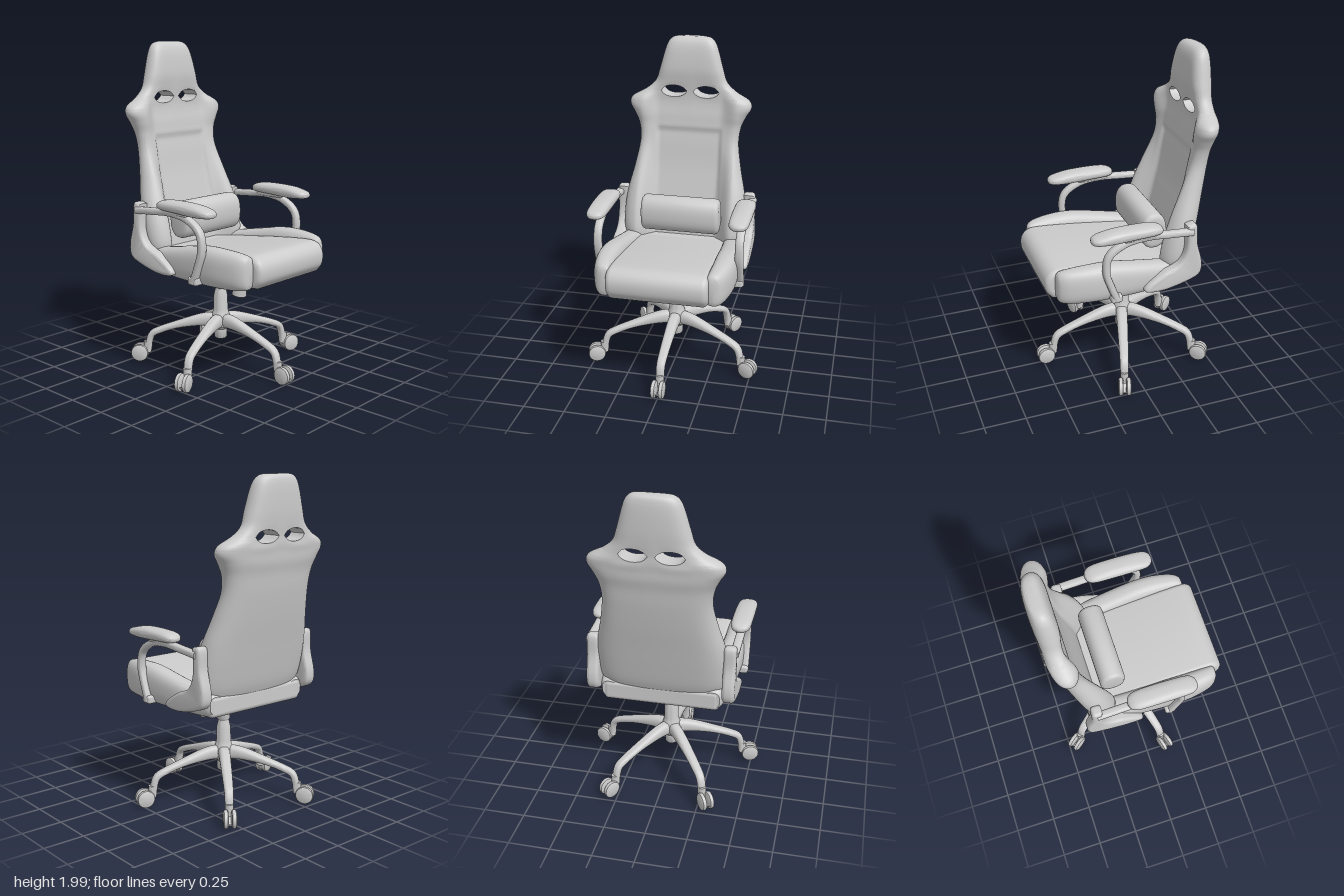
import * as THREE from 'three';
import { toCreasedNormals, mergeGeometries } from 'three/addons/utils/BufferGeometryUtils.js';
import { RoundedBoxGeometry } from 'three/addons/geometries/RoundedBoxGeometry.js';

const grey = new THREE.MeshStandardMaterial({ color: 0xcccccc, side: THREE.DoubleSide });
const V = (x, y, z) => new THREE.Vector3(x, y, z);
const smooth = THREE.MathUtils.smoothstep;

function add(parent, name, geometry, x = 0, y = 0, z = 0) {
  const mesh = new THREE.Mesh(geometry, grey);
  mesh.name = name;
  mesh.position.set(x, y, z);
  parent.add(mesh);
  return mesh;
}

// Skin over equal-length loops; ends are closed by strips pairing point i with n-1-i
function loft(loops, crease = 0.9) {
  const n = loops[0].length, index = [];
  const pts = loops.flat();
  const quad = (a, b, c, d) => index.push(a, b, c, a, c, d);
  for (let r = 0; r < loops.length - 1; r++)
    for (let i = 0; i < n; i++) {
      const j = (i + 1) % n;
      quad(r * n + i, r * n + j, r * n + n + j, r * n + n + i);
    }
  const last = (loops.length - 1) * n;
  for (let i = 0; i < n / 2 - 1; i++) {
    quad(i, n - 1 - i, n - 2 - i, i + 1);
    quad(last + i, last + i + 1, last + n - 2 - i, last + n - 1 - i);
  }
  // Turn the faces outward if the enclosed volume is negative
  let volume = 0;
  const cross = V(0, 0, 0);
  for (let k = 0; k < index.length; k += 3)
    volume += pts[index[k]].dot(cross.crossVectors(pts[index[k + 1]], pts[index[k + 2]]));
  if (volume < 0) index.reverse();
  const g = new THREE.BufferGeometry().setFromPoints(pts);
  g.setIndex(index);
  return toCreasedNormals(g, crease);
}

// Superellipse loop of n points, placed by a function of its two local coordinates
function ring(ru, rv, power, place, n = 32) {
  const se = (v) => Math.sign(v) * Math.abs(v) ** (2 / power);
  return Array.from({ length: n }, (_, i) => {
    const a = ((i + 0.5) / n) * Math.PI * 2;
    return place(ru * se(Math.cos(a)), rv * se(Math.sin(a)));
  });
}

// Stations along z: [z, centre x, centre y, half width, half height], smoothed
function loftZ(stations, power, steps = 40) {
  const a = new THREE.CatmullRomCurve3(stations.map((s) => V(s[0], s[1], s[2])), false, 'catmullrom');
  const b = new THREE.CatmullRomCurve3(stations.map((s) => V(s[3], s[4], 0)), false, 'catmullrom');
  return loft(Array.from({ length: steps + 1 }, (_, i) => {
    const p = a.getPoint(i / steps), q = b.getPoint(i / steps);
    return ring(q.x, q.y, power, (u, v) => V(p.y + u, p.z + v, p.x));
  }));
}

// Side outline of [z, y] points, extruded across x with rounded edges
function sideExtrude(points, width, bevel) {
  const curve = new THREE.SplineCurve([...points, points[0]].map((p) => new THREE.Vector2(...p)));
  const shape = new THREE.Shape(curve.getPoints(points.length * 6).slice(0, -1));
  const g = new THREE.ExtrudeGeometry(shape, {
    depth: width - 2 * bevel, bevelSize: bevel, bevelThickness: bevel, bevelOffset: -bevel, bevelSegments: 5,
  });
  g.translate(0, 0, bevel - width / 2).rotateY(-Math.PI / 2);
  return toCreasedNormals(g, 0.8);
}

// Backrest: two lofts that meet on one line and part there to leave the two openings
function backrestGeometry() {
  // y, half width, back z, front z at centre, front z of side wings
  const rows = [
    [0.72, 0.35, -0.33, -0.24, -0.17], [0.8, 0.385, -0.36, -0.25, -0.15], [0.92, 0.39, -0.39, -0.27, -0.17],
    [1.05, 0.375, -0.42, -0.3, -0.21], [1.2, 0.34, -0.455, -0.335, -0.265], [1.35, 0.315, -0.485, -0.36, -0.325],
    [1.45, 0.325, -0.5, -0.38, -0.345], [1.52, 0.355, -0.515, -0.39, -0.345], [1.575, 0.386, -0.52, -0.4, -0.35],
    [1.62, 0.37, -0.525, -0.405, -0.36], [1.665, 0.29, -0.525, -0.405, -0.38], [1.72, 0.228, -0.53, -0.4, -0.39],
    [1.8, 0.2, -0.535, -0.395, -0.395], [1.9, 0.172, -0.535, -0.405, -0.405], [1.96, 0.15, -0.53, -0.42, -0.42],
    [1.99, 0.122, -0.52, -0.44, -0.44], [2.0, 0.09, -0.5, -0.46, -0.46],
  ];
  const outline = new THREE.CatmullRomCurve3(rows.map((r) => V(r[0], r[1], r[2])), false, 'catmullrom');
  const front = new THREE.CatmullRomCurve3(rows.map((r) => V(r[3], r[4], 0)), false, 'catmullrom');
  const split = 10 / 16, splitY = 1.665, N = 72;
  const section = (t, dir) => {
    const { x: y, y: w, z: back } = outline.getPoint(t), f = front.getPoint(t);
    const point = (i, isFront) => {
      const u = Math.sin(((i / (N - 1)) * 2 - 1) * Math.PI / 2), x = Math.abs(u * w);
      const wing = smooth(x, 0.19, 0.31);
      const panel = 0.014 * (1 - smooth(x, 0.19, 0.215)) * (1 - smooth(y, 1.41, 1.45));
      const zf = f.x + (f.y - f.x) * wing - panel;
      const zb = back + 0.02 * u * u;
      const mid = (zf + zb) / 2, round = Math.sqrt(Math.max(0, 1 - Math.abs(u) ** 7));
      const h = 0.037 * Math.sqrt(Math.max(0, 1 - ((Math.abs(u) * 0.29 - 0.103) / 0.077) ** 2));
      const lift = dir * h * Math.exp(-Math.abs(y - splitY) / 0.06);
      return V(u * w, y + lift, mid + ((isFront ? zf : zb) - mid) * round);
    };
    const ids = [...Array(N).keys()];
    return [...ids.map((i) => point(i, true)), ...ids.reverse().map((i) => point(i, false))];
  };
  const part = (t0, t1, dir, steps) => loft(
    Array.from({ length: steps + 1 }, (_, i) => section(t0 + ((t1 - t0) * i) / steps, dir)));
  return mergeGeometries([part(0, split, -1, 60), part(split, 1, 1, 36)]);
}

// One base leg pointing along +z, its end bending down to the caster
function legGeometry() {
  const path = new THREE.CatmullRomCurve3([V(0, 0.29, 0), V(0, 0.295, 0.08), V(0, 0.262, 0.24),
    V(0, 0.215, 0.38), V(0, 0.185, 0.435), V(0, 0.13, 0.455), V(0, 0.08, 0.46)]);
  return loft(Array.from({ length: 31 }, (_, i) => {
    const t = i / 30, p = path.getPointAt(t), d = path.getTangentAt(t);
    const side = 0.038 - 0.014 * t, deep = 0.045 - 0.024 * smooth(t, 0, 0.6);
    return ring(side, deep, 2.5, (u, v) => V(u, p.y + d.z * v, p.z - d.y * v), 20);
  }));
}

export function createModel() {
  const chair = new THREE.Group();
  chair.name = 'officeChair';

  // Backrest and lumbar pillow
  add(chair, 'backrest', backrestGeometry());
  const pillow = [-1, -0.985, -0.95, -0.9, 0, 0.9, 0.95, 0.985, 1].map((s) => {
    const k = 0.72 + 0.28 * Math.sqrt(Math.max(0, 1 - ((Math.abs(s) - 0.9) / 0.1) ** 2 * (Math.abs(s) > 0.9)));
    return ring(0.078 * k, 0.112 * k, 2.4, (u, v) => V(s * 0.245, 0.947 + v, -0.15 + u), 40);
  });
  add(chair, 'lumbarPillow', loft(pillow));

  // Seat: centre cushion, underside block
  add(chair, 'seatCushion', sideExtrude([[0.5, 0.65], [0.538, 0.7], [0.54, 0.775], [0.5, 0.825], [0.42, 0.835],
    [0.2, 0.815], [0, 0.79], [-0.2, 0.765], [-0.3, 0.75], [-0.32, 0.7], [-0.29, 0.65], [0, 0.64], [0.3, 0.635]], 0.6, 0.035));
  add(chair, 'seatBase', new RoundedBoxGeometry(0.7, 0.13, 0.7, 4, 0.03), 0, 0.7, 0.01);

  for (const s of [1, -1]) {
    const side = new THREE.Group();
    side.name = s > 0 ? 'leftSide' : 'rightSide';
    chair.add(side);
    const mirror = (g) => {
      if (s > 0) return g;
      g.scale(-1, 1, 1);
      // Swap two corners of each triangle to keep the faces outward
      for (const key of ['position', 'normal']) {
        const a = g.attributes[key];
        for (let i = 0; i < a.count; i += 3) {
          const p = V(0, 0, 0).fromBufferAttribute(a, i), q = V(0, 0, 0).fromBufferAttribute(a, i + 1);
          a.setXYZ(i, q.x, q.y, q.z);
          a.setXYZ(i + 1, p.x, p.y, p.z);
        }
      }
      return g;
    };

    // Side bolster of the seat
    add(side, 'seatBolster', mirror(loftZ([[0.49, 0.315, 0.74, 0.02, 0.06], [0.475, 0.32, 0.742, 0.045, 0.092],
      [0.42, 0.334, 0.745, 0.06, 0.106], [0.3, 0.347, 0.748, 0.07, 0.113], [0.17, 0.347, 0.745, 0.072, 0.113],
      [0, 0.34, 0.73, 0.07, 0.098], [-0.18, 0.325, 0.715, 0.065, 0.08], [-0.3, 0.31, 0.71, 0.06, 0.07],
      [-0.335, 0.31, 0.71, 0.045, 0.05]], 2.8)));

    // Armrest pad
    add(side, 'armPad', mirror(loftZ([[0.31, 0.425, 1.062, 0.012, 0.008], [0.3, 0.425, 1.063, 0.035, 0.018],
      [0.265, 0.424, 1.066, 0.055, 0.026], [0.18, 0.424, 1.072, 0.06, 0.036], [0.05, 0.424, 1.077, 0.061, 0.035],
      [-0.06, 0.424, 1.077, 0.058, 0.03], [-0.105, 0.424, 1.073, 0.04, 0.02], [-0.12, 0.424, 1.07, 0.012, 0.008]], 2.6)));

    // Curved arm support, a flat band swept through the side plane
    const path = new THREE.CatmullRomCurve3([V(0, 1.015, -0.31), V(0, 1.025, -0.18), V(0, 1.035, -0.02),
      V(0, 1.015, 0.11), V(0, 0.95, 0.205), V(0, 0.85, 0.222), V(0, 0.74, 0.19), V(0, 0.65, 0.155)]);
    add(side, 'armSupport', mirror(loft(Array.from({ length: 49 }, (_, i) => {
      const p = path.getPointAt(i / 48), d = path.getTangentAt(i / 48);
      return ring(0.025, 0.021, 3, (u, v) => V(0.428 + u, p.y + d.z * v, p.z - d.y * v), 20);
    }))));
    add(side, 'armMount', new RoundedBoxGeometry(0.06, 0.03, 0.2, 3, 0.012), s * 0.425, 1.042, 0.02);
    add(side, 'supportFoot', new RoundedBoxGeometry(0.09, 0.05, 0.07, 3, 0.015), s * 0.405, 0.665, 0.16);

    // Hinge bracket joining seat, back and arm
    add(side, 'hingeBracket', sideExtrude([[-0.275, 1.055], [-0.335, 1.055], [-0.345, 0.93], [-0.375, 0.81],
      [-0.365, 0.73], [-0.29, 0.69], [-0.14, 0.655], [-0.03, 0.66], [-0.03, 0.7], [-0.13, 0.765],
      [-0.23, 0.81], [-0.275, 0.9]], 0.075, 0.022), s * 0.405);
  }

  // Tilt mechanism with knob and levers
  add(chair, 'mechanismPlate', sideExtrude([[0.24, 0.64], [0.235, 0.61], [0.1, 0.595], [-0.04, 0.575],
    [-0.16, 0.585], [-0.19, 0.62], [-0.19, 0.64]], 0.24, 0.008));
  add(chair, 'tensionKnob', new THREE.CylinderGeometry(0.035, 0.045, 0.11, 24), 0, 0.54, 0.135).rotation.x = 0.2;
  for (const s of [1, -1]) {
    const lever = new THREE.CatmullRomCurve3([V(s * 0.05, 0.6, 0.02), V(s * 0.12, 0.6, 0.02), V(s * 0.15, 0.62, 0.02), V(s * 0.22, 0.625, 0.02)]);
    add(chair, 'lever', new THREE.TubeGeometry(lever, 16, 0.012, 10));
  }

  // Gas column with hub
  const base = new THREE.Group();
  base.name = 'base';
  base.position.z = -0.03;
  chair.add(base);
  const column = [[0, 0.18], [0.034, 0.18], [0.04, 0.19], [0.04, 0.24], [0.06, 0.26], [0.062, 0.31], [0.05, 0.345],
    [0.045, 0.37], [0.044, 0.45], [0.036, 0.485], [0.033, 0.5], [0.04, 0.51], [0.041, 0.6], [0, 0.6]];
  add(base, 'column', toCreasedNormals(new THREE.LatheGeometry(column.map((p) => new THREE.Vector2(...p)), 32), 0.7));

  // Five legs, each with a twin-wheel caster
  const wheelProfile = [[0, -0.015], [0.042, -0.015], [0.052, -0.01], [0.055, 0], [0.052, 0.01], [0.042, 0.015], [0, 0.015]];
  for (let k = 0; k < 5; k++) {
    const leg = new THREE.Group();
    leg.name = 'legWithCaster';
    leg.rotation.y = (k * Math.PI * 2) / 5;
    base.add(leg);
    add(leg, 'leg', legGeometry());
    for (const s of [1, -1]) {
      const g = toCreasedNormals(new THREE.LatheGeometry(wheelProfile.map((p) => new THREE.Vector2(...p)), 28), 0.7);
      add(leg, 'casterWheel', g.rotateZ(Math.PI / 2), s * 0.024, 0.062, 0.513);
    }
    const hood = new THREE.CylinderGeometry(0.05, 0.05, 0.03, 24, 1, false, Math.PI * 0.85, Math.PI);
    add(leg, 'casterHood', hood.rotateZ(Math.PI / 2), 0, 0.07, 0.508);
    add(leg, 'casterStem', new THREE.CylinderGeometry(0.024, 0.024, 0.07, 20), 0, 0.1, 0.465);
  }
  return chair;
}
